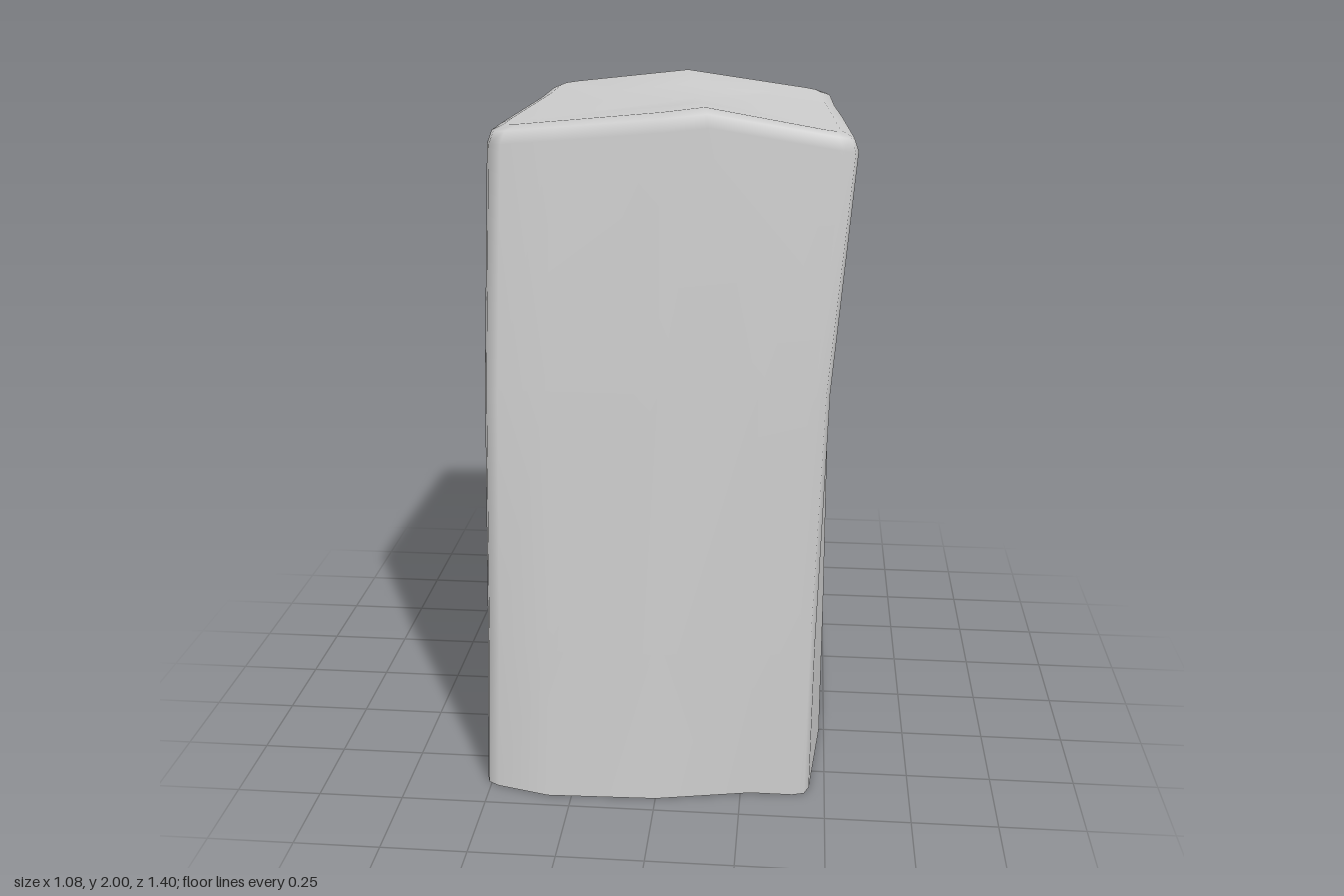
import * as THREE from 'three';

// Outline control points [x, z], running front-left, front-right, back-right, back-left.
const CORNERS = [0, 4, 7, 9];
const SECTIONS = [
  { y: 0, pts: [[-.52, .65], [-.32, .70], [0, .69], [.28, .635], [.45, .635], [.485, .25], [.49, -.2],
    [.475, -.675], [.05, -.665], [-.485, -.705], [-.48, -.3], [-.54, 0], [-.52, .3]] },
  { y: .45, pts: [[-.51, .615], [-.32, .645], [0, .64], [.28, .61], [.455, .605], [.485, .25], [.485, -.2],
    [.475, -.645], [0, -.64], [-.48, -.685], [-.48, -.3], [-.51, 0], [-.51, .3]] },
  { y: 1.22, pts: [[-.50, .56], [-.32, .56], [0, .555], [.28, .555], [.48, .55], [.48, .2], [.48, -.2],
    [.475, -.59], [0, -.59], [-.455, -.635], [-.48, -.3], [-.49, 0], [-.5, .3]] },
];
const SHOULDER = [[-.485, .475], [-.3, .472], [0, .47], [.13, .47], [.54, .465], [.51, 0], [.49, -.25],
  [.475, -.54], [0, -.545], [-.455, -.54], [-.465, -.3], [-.475, 0], [-.485, .3]];
const TOP_HEIGHTS = [1.945, 1.96, 1.985, 2, 1.935, 1.935, 1.935, 1.94, 2, 1.955, 1.945, 1.945, 1.945];

// Replace each marked corner with a small three-point round
function roundCorners(points, r) {
  const n = points.length;
  return points.flatMap((p, i) => {
    if (!CORNERS.includes(i)) return [p];
    const a = points[(i + n - 1) % n].clone().sub(p).setLength(r).add(p);
    const b = points[(i + 1) % n].clone().sub(p).setLength(r).add(p);
    const mid = a.clone().add(b).multiplyScalar(.25).addScaledVector(p, .5);
    return [a, mid, b];
  });
}

function shoulderRing(inset, drop) {
  return SHOULDER.map(([x, z], i) => new THREE.Vector3(
    x * (1 - inset / .48), TOP_HEIGHTS[i] - drop, z * (1 - inset / .5)));
}

export function createModel() {
  // Tapered sides, then a rounded top rim
  const rings = SECTIONS.map(({ y, pts }) =>
    roundCorners(pts.map(([x, z]) => new THREE.Vector3(x, y, z)), .045));
  for (const [inset, drop] of [[0, .05], [.012, .015], [.045, 0]]) {
    rings.push(roundCorners(shoulderRing(inset, drop), .045));
  }

  // Gently sagging top surface
  const rim = rings[rings.length - 1];
  const centre = new THREE.Vector3(.06, 1.968, -.02);
  rings.push(rim.map((p) => p.clone().lerp(centre, .5)));

  const n = rim.length;
  const positions = rings.flat().flatMap((p) => p.toArray());
  positions.push(...centre.toArray());
  const index = [];
  for (let k = 0; k < rings.length - 1; k++) {
    for (let i = 0; i < n; i++) {
      const j = (i + 1) % n;
      const a = k * n + i, b = k * n + j, c = a + n, d = b + n;
      index.push(a, b, d, a, d, c);
    }
  }
  const last = (rings.length - 1) * n;
  for (let i = 0; i < n; i++) index.push(last + i, last + (i + 1) % n, last + n);

  const geometry = new THREE.BufferGeometry();
  geometry.setAttribute('position', new THREE.Float32BufferAttribute(positions, 3));
  geometry.setIndex(index);
  geometry.computeVertexNormals();

  // Open underneath, so both sides are drawn
  const block = new THREE.Mesh(geometry,
    new THREE.MeshStandardMaterial({ color: 0xcccccc, side: THREE.DoubleSide }));
  block.name = 'stoneBlock';
  const group = new THREE.Group();
  group.name = 'standingStone';
  group.add(block);
  return group;
}
